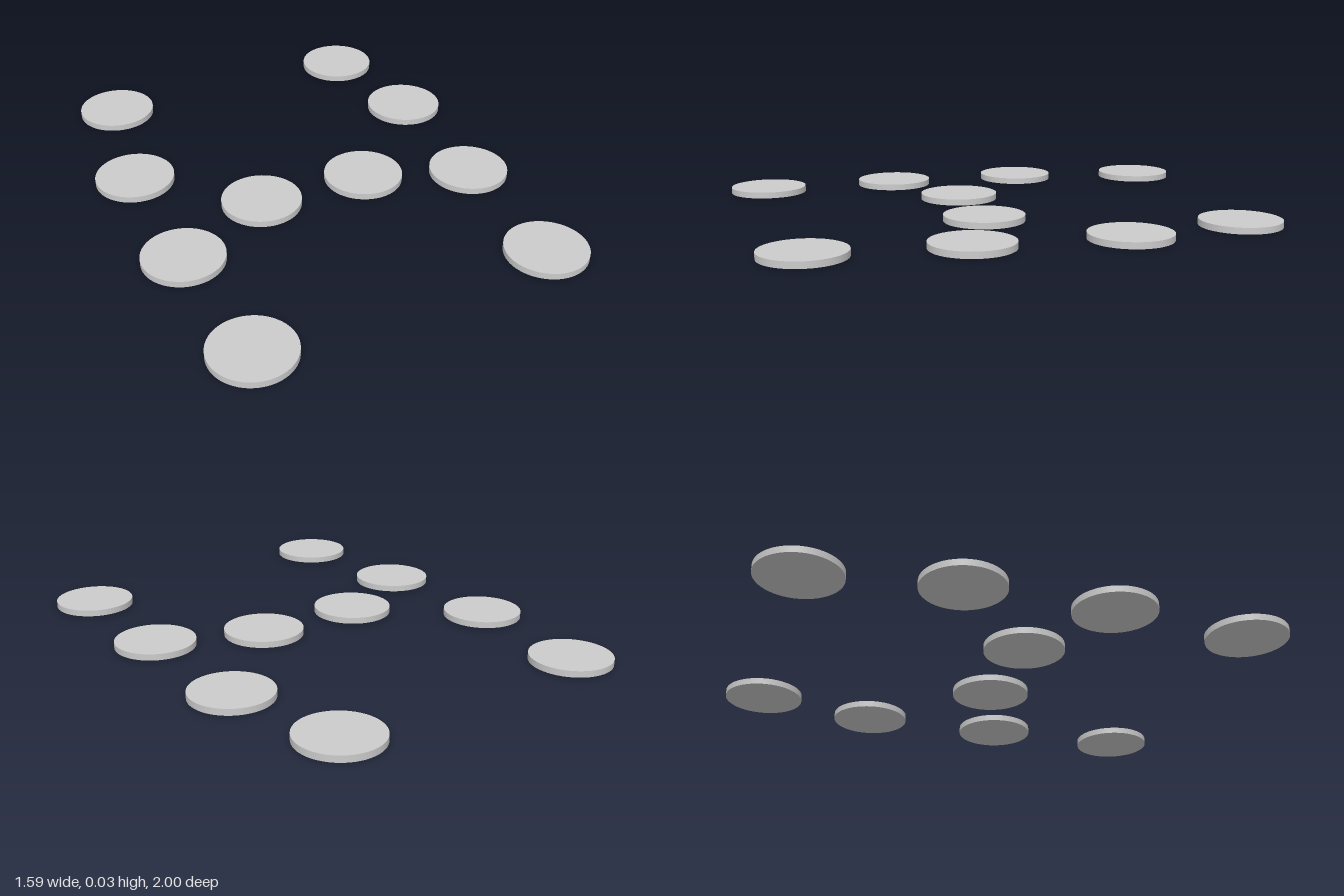
import * as THREE from 'three';

const RADIUS = 0.158;
const HEIGHT = 0.025;

// Disc centres as [name, x, z]
const DISCS = [
  ['backRightDisc', -0.553, -0.842],
  ['backLeftDisc', 0.531, -0.842],
  ['midBackRightDisc', -0.636, -0.288],
  ['midBackLeftDisc', 0.634, -0.362],
  ['innerRightDisc', -0.23, 0.071],
  ['innerLeftDisc', 0.214, 0.071],
  ['midFrontRightDisc', -0.624, 0.283],
  ['midFrontLeftDisc', 0.622, 0.214],
  ['frontRightDisc', -0.577, 0.842],
  ['frontLeftDisc', 0.606, 0.789],
];

export function createModel() {
  const group = new THREE.Group();
  group.name = 'discSet';
  const material = new THREE.MeshStandardMaterial({ color: 0xcccccc });

  // One flat round disc, shared by every position
  const geometry = new THREE.CylinderGeometry(RADIUS, RADIUS, HEIGHT, 64);
  geometry.translate(0, HEIGHT / 2, 0);

  for (const [name, x, z] of DISCS) {
    const disc = new THREE.Mesh(geometry, material);
    disc.name = name;
    disc.position.set(x, 0, z);
    group.add(disc);
  }
  return group;
}
